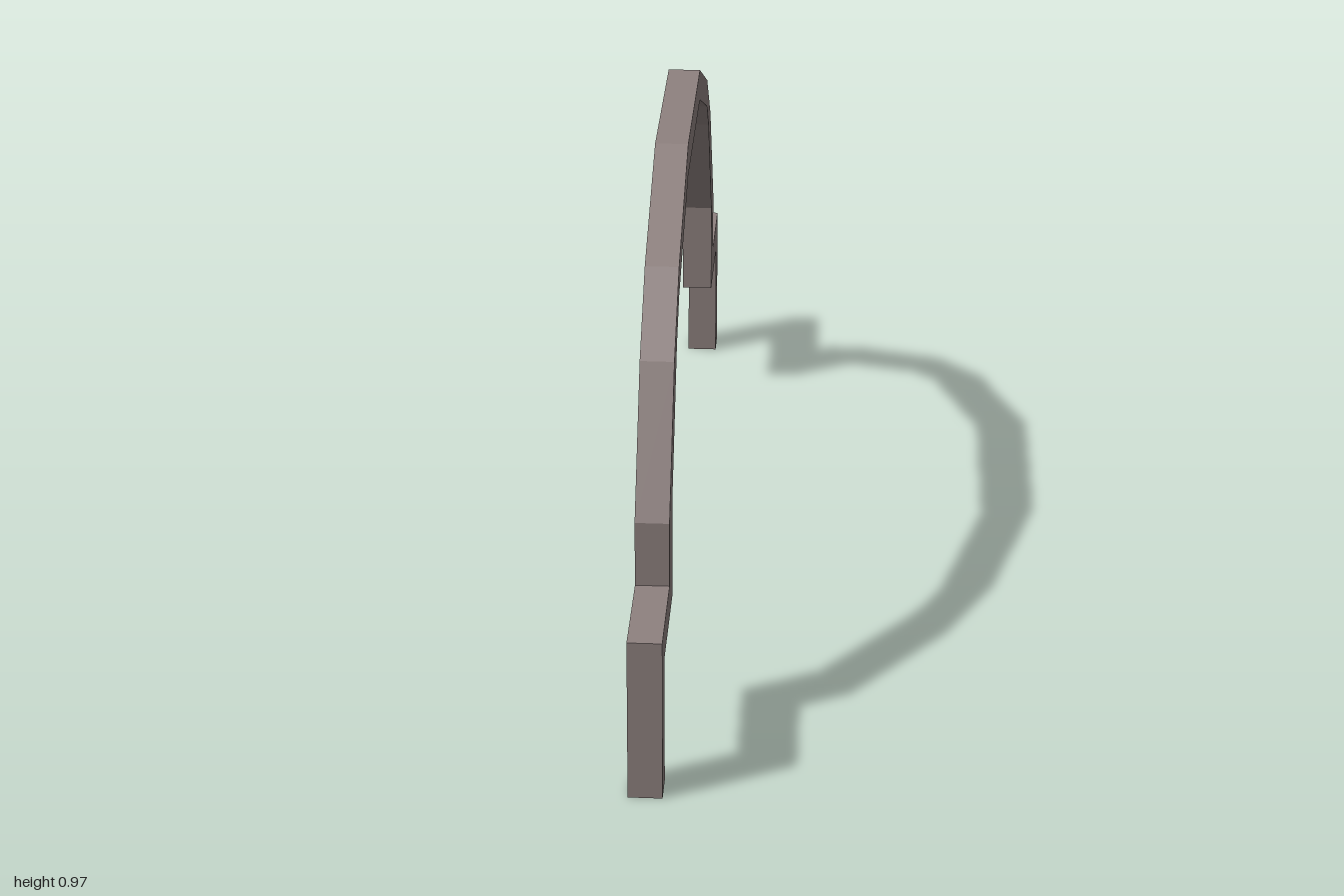
import * as THREE from 'three';

// Square-section tube swept through mitred cross-sections, open at both feet
function sweptBar(sections, halfWidth) {
  const rings = sections.map(([zo, yo, zi, yi]) => [
    [halfWidth, yo, zo], [-halfWidth, yo, zo],
    [-halfWidth, yi, zi], [halfWidth, yi, zi],
  ]);
  const positions = [];
  for (let i = 0; i < rings.length - 1; i++) {
    const a = rings[i], b = rings[i + 1];
    for (let k = 0; k < 4; k++) {
      const n = (k + 1) % 4;
      positions.push(...a[n], ...a[k], ...b[k], ...a[n], ...b[k], ...b[n]);
    }
  }
  const geometry = new THREE.BufferGeometry();
  geometry.setAttribute('position', new THREE.Float32BufferAttribute(positions, 3));
  geometry.computeVertexNormals();
  return geometry;
}

export function createModel() {
  const group = new THREE.Group();
  group.name = 'arch';

  // Front half from foot to crown: outer z, outer y, inner z, inner y
  const half = [
    [1.0, 0, 0.938, 0],
    [1.0, 0.325, 0.938, 0.26],
    [0.79, 0.325, 0.71, 0.26],
    [0.79, 0.455, 0.71, 0.457],
    [0.642, 0.712, 0.568, 0.712],
    [0.5, 0.84, 0.5, 0.78],
    [0.207, 0.97, 0.207, 0.906],
  ];
  // Mirror to the back half
  const back = half.map(([zo, yo, zi, yi]) => [-zo, yo, -zi, yi]).reverse();

  const material = new THREE.MeshStandardMaterial({
    color: 0x8f8280, flatShading: true, side: THREE.DoubleSide,
  });
  const bar = new THREE.Mesh(sweptBar([...half, ...back], 0.032), material);
  bar.name = 'archBar';
  group.add(bar);
  return group;
}
